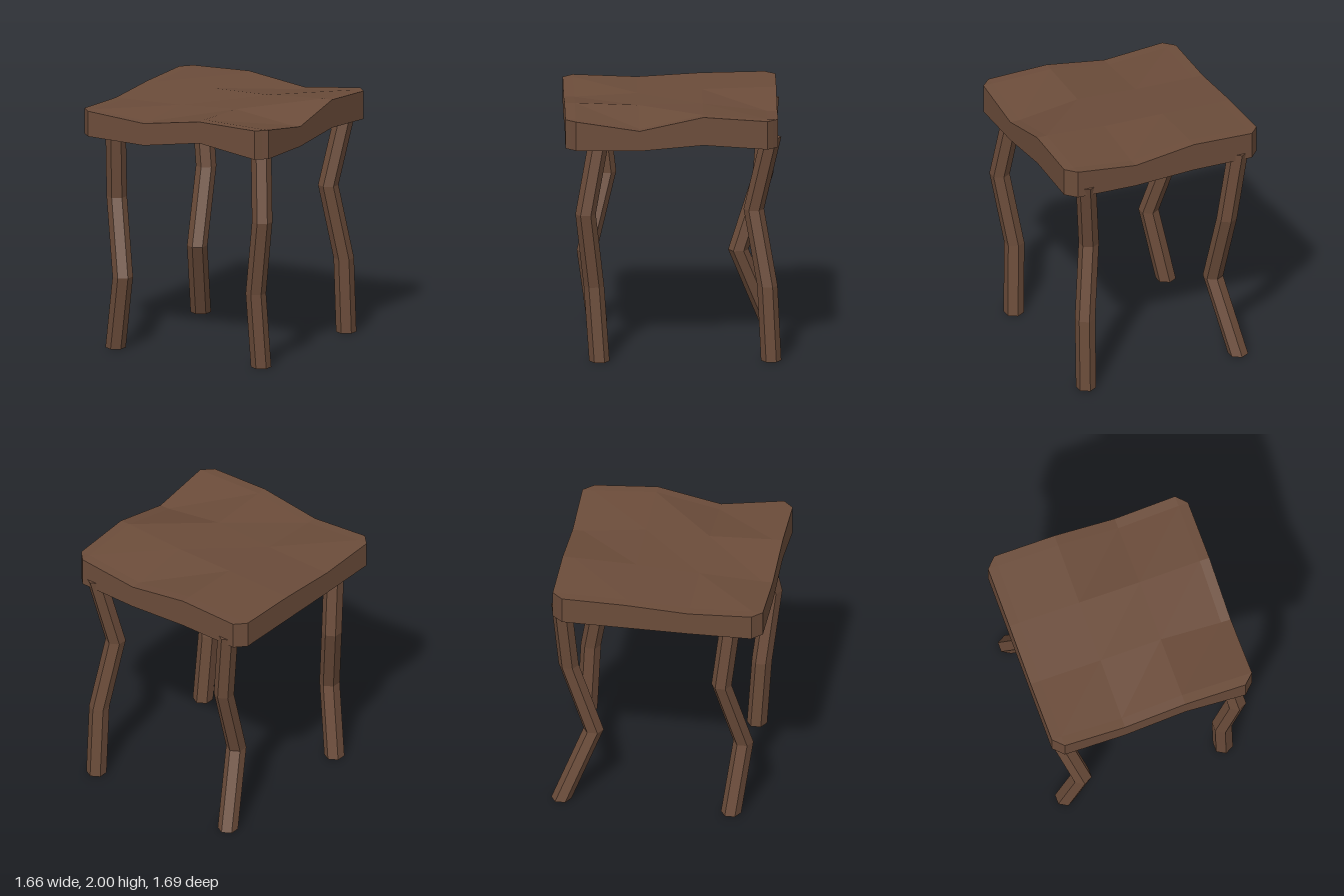
import * as THREE from 'three';

const wood = new THREE.MeshStandardMaterial({ color: 0x6b4c3a, flatShading: true });

// Move every vertex of a geometry by a rule
function deform(geometry, rule) {
  const pos = geometry.attributes.position;
  const v = new THREE.Vector3();
  for (let i = 0; i < pos.count; i++) {
    rule(v.fromBufferAttribute(pos, i));
    pos.setXYZ(i, v.x, v.y, v.z);
  }
  geometry.computeVertexNormals();
  return geometry;
}

// Uneven slab: heights of the upper and lower faces, rows back to front, columns -x to +x
const upper = [
  [1.965, 1.98, 1.91, 1.965],
  [1.955, 1.965, 1.97, 2.0],
  [1.925, 1.935, 1.96, 1.89],
  [1.945, 1.907, 1.98, 1.967],
];
const lower = [
  [1.75, 1.755, 1.73, 1.74],
  [1.745, 1.75, 1.75, 1.775],
  [1.74, 1.745, 1.75, 1.73],
  [1.742, 1.73, 1.808, 1.735],
];

function makeSeat() {
  const xs = [-0.83, -0.75, -0.25, 0.25, 0.75, 0.83];
  const zs = [-0.82, -0.735, -0.235, 0.265, 0.765, 0.845];
  const geometry = deform(new THREE.BoxGeometry(5, 1, 5, 5, 1, 5), (v) => {
    const i = Math.round(v.x + 2.5);
    const k = Math.round(v.z + 2.5);
    const heights = v.y > 0 ? upper : lower;
    const clampIndex = (n) => Math.min(3, Math.max(0, n - 1));
    v.set(xs[i], heights[clampIndex(k)][clampIndex(i)], zs[k]);
    // cut the four corners
    if (i % 5 === 0 && k % 5 === 0) {
      v.x -= Math.sign(v.x) * 0.04;
      v.z -= Math.sign(v.z) * 0.041;
    }
  });
  const seat = new THREE.Mesh(geometry, wood);
  seat.name = 'seat';
  return seat;
}

// Crooked six-sided leg through four [x, z] centres, 0.6 apart in height
function makeLeg(name, centres) {
  const geometry = deform(new THREE.CylinderGeometry(0.08, 0.08, 1.8, 6, 3), (v) => {
    v.y += 0.9;
    const [x, z] = centres[Math.round(v.y / 0.6)];
    v.x += x;
    v.z += z;
  });
  const leg = new THREE.Mesh(geometry, wood);
  leg.name = name;
  return leg;
}

export function createModel() {
  const stool = new THREE.Group();
  stool.name = 'crookedStool';
  stool.add(makeSeat());

  // Each leg: foot and top share a position, the two knees wander
  const legs = {
    frontLeftLeg: [[0.655, 0.578], [0.632, 0.62], [0.727, 0.687]],
    backLeftLeg: [[0.655, -0.766], [0.65, -0.737], [0.57, -0.632]],
    frontRightLeg: [[-0.655, 0.578], [-0.545, 0.658], [-0.685, 0.507]],
    backRightLeg: [[-0.655, -0.766], [-0.55, -0.527], [-0.58, -0.72]],
  };
  for (const [name, [foot, lowKnee, highKnee]] of Object.entries(legs)) {
    stool.add(makeLeg(name, [foot, lowKnee, highKnee, foot]));
  }
  return stool;
}
